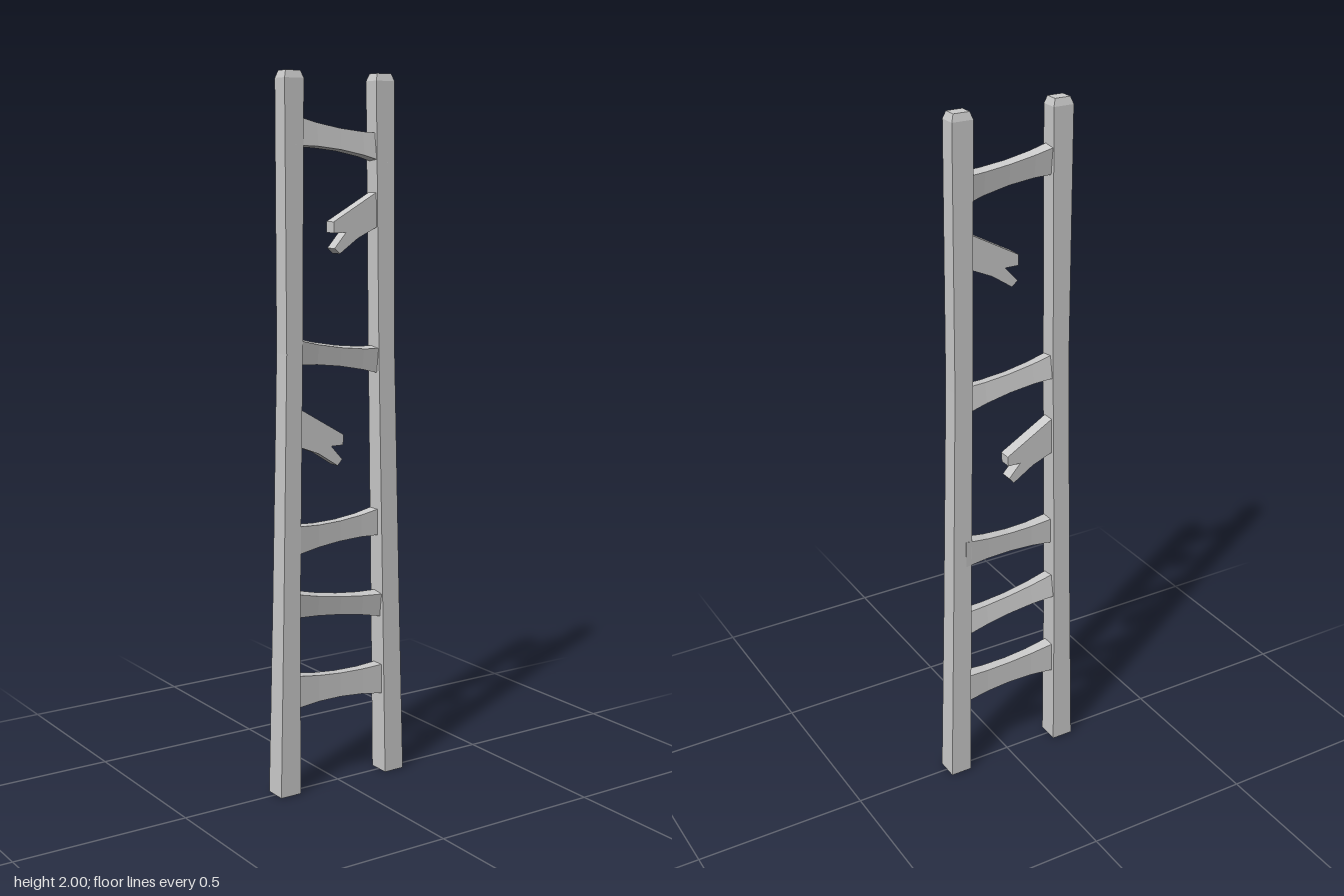
import * as THREE from 'three';

const material = new THREE.MeshStandardMaterial({ color: 0xcccccc, flatShading: true });

// Skin a list of four-cornered rings (counter-clockwise seen from the far end) and cap both ends
function loft(name, rings) {
  const index = [];
  const quad = (a, b, c, d) => index.push(a, b, c, a, c, d);
  for (let i = 0; i < rings.length - 1; i++) {
    for (let j = 0; j < 4; j++) {
      const a = i * 4 + j, b = i * 4 + (j + 1) % 4;
      quad(a, b, b + 4, a + 4);
    }
  }
  const e = (rings.length - 1) * 4;
  quad(3, 2, 1, 0);
  quad(e, e + 1, e + 2, e + 3);
  const geo = new THREE.BufferGeometry();
  geo.setAttribute('position', new THREE.Float32BufferAttribute(rings.flat(2), 3));
  geo.setIndex(index);
  const flat = geo.toNonIndexed();
  flat.computeVertexNormals();
  const mesh = new THREE.Mesh(flat, material);
  mesh.name = name;
  return mesh;
}

// Rail section: [y, x min, x max, z min, z max]
const railRing = ([y, x0, x1, z0, z1]) => [[x0, y, z1], [x1, y, z1], [x1, y, z0], [x0, y, z0]];

// Curve through three values at t = 0, 0.5, 1
const bend = ([a, b, c], t) =>
  a * (1 - t) * (1 - 2 * t) + 4 * b * t * (1 - t) + c * t * (2 * t - 1);

// Waisted rung: heights at left end, middle and right end; z at both ends; lean of its faces
function rung({ top, bottom, z = [0, 0], lean = 0 }) {
  const rings = [];
  for (let i = 0; i <= 4; i++) {
    const t = i / 4, x = -0.15 + 0.3 * t;
    const y0 = bend(bottom, t), y1 = bend(top, t);
    const zc = z[0] + (z[1] - z[0]) * t;
    const d = bend([0.019, 0.015, 0.019], t);
    const s = lean * (y1 - y0) / 2, r = lean * d;
    rings.push([
      [x, y0 + r, zc - d - s], [x, y1 + r, zc - d + s],
      [x, y1 - r, zc + d + s], [x, y0 - r, zc + d - s],
    ]);
  }
  return loft('rung', rings);
}

// Snapped rung stub cut from a board with a splintered end
function brokenRung(points) {
  const shape = new THREE.Shape(points.map(([x, y]) => new THREE.Vector2(x, y)));
  const geo = new THREE.ExtrudeGeometry(shape, { depth: 0.036, bevelEnabled: false });
  geo.translate(0, 0, -0.018);
  const mesh = new THREE.Mesh(geo, material);
  mesh.name = 'brokenRung';
  return mesh;
}

export function createModel() {
  const group = new THREE.Group();
  group.name = 'brokenLadder';

  // Side rails, splayed at the foot with chamfered tops
  group.add(loft('rightRail', [
    [0, -0.212, -0.147, -0.033, 0.032],
    [0.55, -0.198, -0.144, -0.03, 0.029],
    [1.25, -0.182, -0.131, -0.027, 0.025],
    [1.98, -0.183, -0.123, -0.026, 0.023],
    [2, -0.176, -0.13, -0.02, 0.017],
  ].map(railRing)));
  group.add(loft('leftRail', [
    [0, 0.146, 0.21, -0.033, 0.032],
    [0.55, 0.136, 0.194, -0.03, 0.029],
    [1.25, 0.122, 0.176, -0.027, 0.025],
    [1.98, 0.111, 0.172, -0.026, 0.023],
    [2, 0.118, 0.165, -0.02, 0.017],
  ].map(railRing)));

  // Whole rungs, top to bottom
  [
    { top: [1.882, 1.85, 1.838], bottom: [1.803, 1.793, 1.757], lean: -0.12 },
    { top: [1.291, 1.26, 1.25], bottom: [1.222, 1.208, 1.175], lean: 0.15 },
    { top: [0.772, 0.768, 0.788], bottom: [0.693, 0.71, 0.709], z: [0.008, -0.012] },
    { top: [0.582, 0.552, 0.54], bottom: [0.512, 0.498, 0.47], lean: 0.15 },
    { top: [0.342, 0.324, 0.326], bottom: [0.248, 0.254, 0.237] },
  ].forEach((r) => group.add(rung(r)));

  // Snapped rungs hanging from one rail each
  group.add(brokenRung([
    [0.14, 1.693], [-0.025, 1.602], [-0.025, 1.572], [0.015, 1.572],
    [-0.022, 1.53], [-0.005, 1.515], [0.055, 1.556], [0.14, 1.595],
  ]));
  group.add(brokenRung([
    [-0.15, 1.106], [-0.15, 0.997], [-0.075, 0.968], [-0.012, 0.928],
    [0.003, 0.945], [-0.033, 0.985], [0.006, 0.985], [0.008, 1.014],
  ]));
  return group;
}
